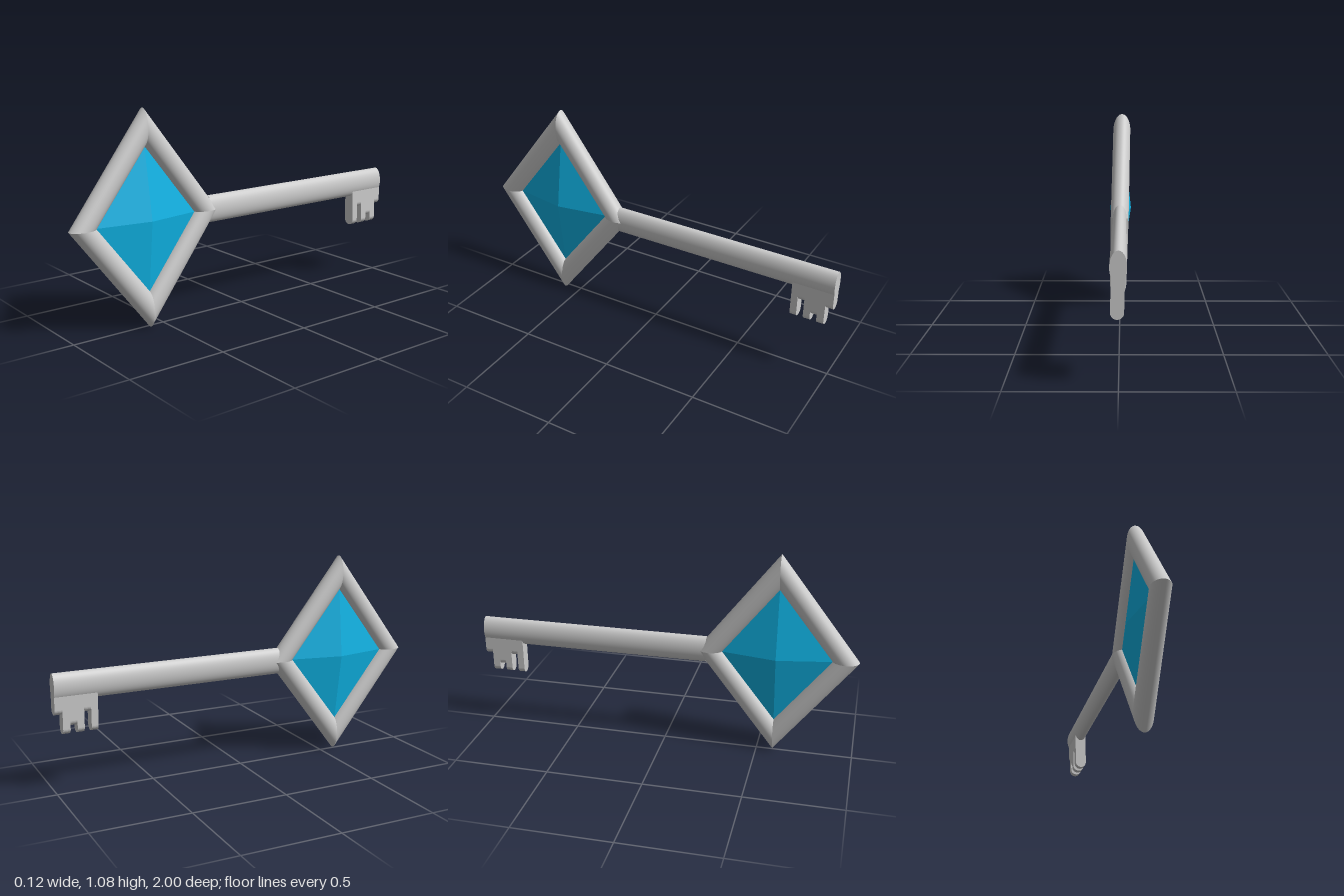
import * as THREE from 'three';

const MID = 0.545; // height of the key's axis
const BOW_Z = 0.585; // centre of the diamond bow

const metal = new THREE.MeshStandardMaterial({ color: 0xcccccc });
const blue = new THREE.MeshStandardMaterial({ color: 0x0fb4e6, flatShading: true });

function add(parent, name, geometry, material = metal) {
  const mesh = new THREE.Mesh(geometry, material);
  mesh.name = name;
  parent.add(mesh);
  return mesh;
}

// Corner of the bow: direction in (y, z), distance of bar centre, half width along the mitre
const corners = [
  { y: 1, z: 0, r: 0.45, s: 0.0925 },
  { y: 0, z: 1, r: 0.3465, s: 0.0685 },
  { y: -1, z: 0, r: 0.45, s: 0.0925 },
  { y: 0, z: -1, r: 0.3465, s: 0.0685 },
];

// Oval bar between two mitred corner sections
function barGeometry(a, b, halfX = 0.049, sides = 40) {
  const positions = [];
  const index = [];
  for (const c of [a, b]) {
    for (let i = 0; i < sides; i++) {
      const t = (i / sides) * Math.PI * 2;
      const d = c.r + c.s * Math.cos(t);
      positions.push(halfX * Math.sin(t), c.y * d, c.z * d);
    }
  }
  for (let i = 0; i < sides; i++) {
    const j = (i + 1) % sides;
    index.push(i, sides + i, j, j, sides + i, sides + j);
  }
  const g = new THREE.BufferGeometry();
  g.setAttribute('position', new THREE.Float32BufferAttribute(positions, 3));
  g.setIndex(index);
  g.computeVertexNormals();
  return g;
}

// Plate with a rounded lower edge, running along z
function toothGeometry(bottom, zFront, zBack, halfX = 0.03) {
  const top = -0.03;
  const shape = new THREE.Shape();
  shape.moveTo(halfX, top);
  shape.lineTo(-halfX, top);
  shape.lineTo(-halfX, bottom + halfX);
  shape.absarc(0, bottom + halfX, halfX, Math.PI, Math.PI * 2, false);
  shape.closePath();
  const g = new THREE.ExtrudeGeometry(shape, {
    depth: zFront - zBack, bevelEnabled: false, curveSegments: 16,
  });
  return g.translate(0, 0, zBack);
}

export function createModel() {
  const model = new THREE.Group();
  model.name = 'key';

  // The whole key leans very slightly about its long axis
  const key = new THREE.Group();
  key.name = 'keyBody';
  key.position.set(0.001, MID, 0);
  key.rotation.z = 0.0234;
  model.add(key);

  // Diamond bow with its gem
  const bow = new THREE.Group();
  bow.name = 'bow';
  bow.position.z = BOW_Z;
  key.add(bow);
  corners.forEach((c, i) => add(bow, 'bowBar', barGeometry(c, corners[(i + 1) % 4])));
  const gem = add(bow, 'gem', new THREE.OctahedronGeometry(1), blue);
  gem.scale.set(0.06, 0.45, 0.3465);
  gem.position.x = -0.004;

  // Oval shaft
  const front = 0.22, back = -1;
  const shaft = new THREE.CylinderGeometry(1, 1, front - back, 48);
  shaft.rotateX(Math.PI / 2).scale(0.0375, 0.07, 1).translate(0, 0, (front + back) / 2);
  add(key, 'shaft', shaft);

  // Bit: stepped teeth, [bottom, front z, back z]
  const bit = new THREE.Group();
  bit.name = 'bit';
  key.add(bit);
  const steps = [
    [-0.237, -0.785, -0.82],
    [-0.137, -0.82, -0.855],
    [-0.237, -0.855, -0.89],
    [-0.197, -0.89, -0.925],
    [-0.237, -0.925, -0.962],
    [-0.137, -0.962, -1],
  ];
  for (const s of steps) add(bit, 'tooth', toothGeometry(...s));

  return model;
}
